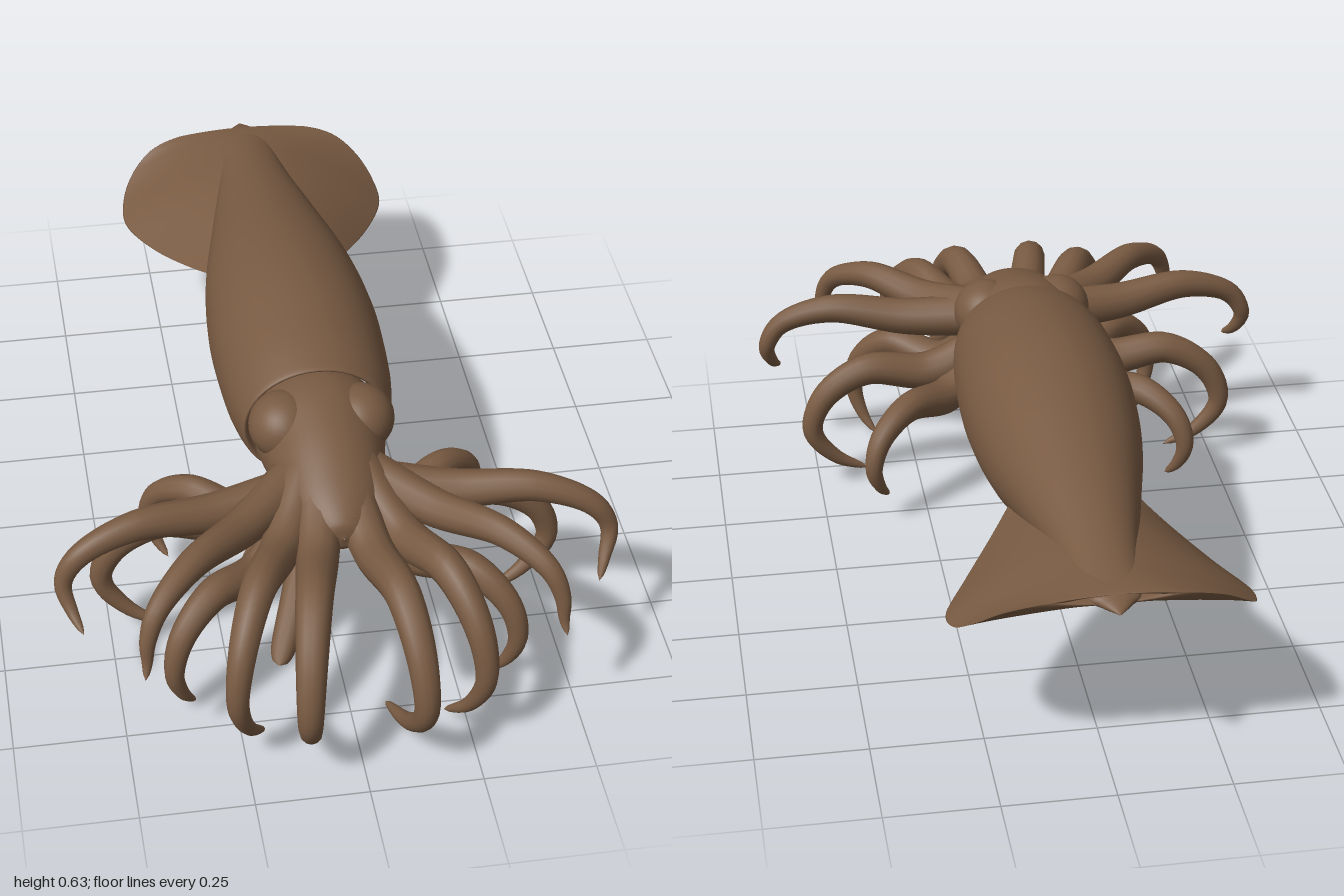
import * as THREE from 'three';

const skin = new THREE.MeshStandardMaterial({ color: 0x785a42 });
skin.name = 'brownSkin';

function part(name, geometry) {
  const mesh = new THREE.Mesh(geometry, skin);
  mesh.name = name;
  return mesh;
}

// Smooth skin over cross-sections [z, centreY, halfWidth, halfHeight, edgeDroop], listed front to back.
function loft(sections, { steps = 64, sides = 48, sharpness = 1 } = {}) {
  const spline = (pick) => new THREE.CatmullRomCurve3(sections.map(pick), false, 'catmullrom', 0.5);
  const line = spline(([z, y, , , droop = 0]) => new THREE.Vector3(z, y, droop));
  const size = spline(([, , w, h]) => new THREE.Vector3(w, h, 0));
  const position = [], index = [];
  for (let i = 0; i <= steps; i++) {
    const { x: z, y: cy, z: droop } = line.getPoint(i / steps);
    const { x: w, y: h } = size.getPoint(i / steps);
    for (let j = 0; j < sides; j++) {
      const a = (j / sides) * Math.PI * 2, c = Math.cos(a), s = Math.sin(a);
      const lift = Math.sign(s) * Math.abs(s) ** sharpness;
      position.push(w * c, cy + h * lift - droop * Math.abs(c) ** 1.6, z);
      if (i < steps) {
        const k = (j + 1) % sides, p = i * sides + j, q = i * sides + k;
        index.push(p, p + sides, q, p + sides, q + sides, q);
      }
    }
  }
  const g = new THREE.BufferGeometry();
  g.setAttribute('position', new THREE.Float32BufferAttribute(position, 3));
  g.setIndex(index);
  g.computeVertexNormals();
  return g;
}

// Tapered tube with a rounded tip.
function taper(points, r0, r1, steps = 44) {
  const curve = new THREE.CatmullRomCurve3(points);
  const sides = 12;
  const g = new THREE.TubeGeometry(curve, steps, 1, sides);
  const pos = g.attributes.position, v = new THREE.Vector3();
  for (let i = 0; i <= steps; i++) {
    const t = i / steps, centre = curve.getPointAt(t);
    const r = THREE.MathUtils.lerp(r0, r1, t ** 1.25) * Math.sqrt(Math.max(0, 1 - t ** 16));
    for (let j = 0; j <= sides; j++) {
      const n = i * (sides + 1) + j;
      v.fromBufferAttribute(pos, n).sub(centre).multiplyScalar(r).add(centre);
      pos.setXYZ(n, v.x, v.y, v.z);
    }
  }
  return g;
}

// Arm path: runs from the root at peak height towards its outermost point, then drops and curls to the tip.
function armPath(root, outX, outZ, peak, tip) {
  const drop = peak - tip.y;
  const outward = (f, y) => new THREE.Vector3(
    THREE.MathUtils.lerp(root.x, outX, f), y, THREE.MathUtils.lerp(root.z, outZ, f));
  const knee = outward(1, peak - drop * 0.55);
  const curl = knee.clone().lerp(tip, 0.4).setY(peak - drop * 0.83);
  return [root, outward(0.35, peak - 0.015), outward(0.7, peak), outward(0.93, peak - drop * 0.23), knee, curl, tip];
}

// Left-side arms: root, outermost x and z, peak height, tip.
const ARMS = {
  innerFrontArm: [0.025, 0.47, 0.48, 0.125, 0.967, 0.4, 0.08, 0.01, 0.74],
  outerFrontArm: [0.06, 0.46, 0.46, 0.27, 0.895, 0.402, 0.2, 0.025, 0.8],
  raisedSideArm: [0.08, 0.44, 0.45, 0.45, 0.81, 0.437, 0.46, 0.24, 0.835],
  longSideArm: [0.08, 0.42, 0.465, 0.61, 0.58, 0.425, 0.575, 0.225, 0.655],
  lowerSideArm: [0.06, 0.37, 0.42, 0.515, 0.405, 0.318, 0.38, 0.03, 0.43],
  rearArm: [0.07, 0.35, 0.44, 0.385, 0.19, 0.28, 0.345, 0.06, 0.235],
  underArm: [0.06, 0.37, 0.46, 0.385, 0.7, 0.28, 0.335, 0, 0.66],
};

export function createModel() {
  const model = new THREE.Group();
  model.name = 'squid';
  const vec = (x, y, z) => new THREE.Vector3(x, y, z);

  // Mantle with a turned-in collar at the front
  model.add(part('mantle', loft([
    [0.22, 0.44, 0.14, 0.13], [0.265, 0.44, 0.162, 0.144], [0.24, 0.44, 0.176, 0.157], [0.13, 0.44, 0.193, 0.178],
    [-0.08, 0.438, 0.2, 0.192], [-0.3, 0.436, 0.18, 0.168], [-0.52, 0.44, 0.135, 0.117],
    [-0.75, 0.446, 0.085, 0.06], [-0.92, 0.452, 0.06, 0.023], [-0.96, 0.452, 0.035, 0.015], [-1, 0.45, 0.001, 0.001],
  ], { steps: 72 })));

  // Pair of drooping tail fins with rounded lobes notched at the tail
  model.add(part('tailFins', loft([
    [-0.38, 0.42, 0.12, 0.01, 0.02], [-0.5, 0.422, 0.195, 0.035, 0.062], [-0.63, 0.43, 0.272, 0.045, 0.097],
    [-0.75, 0.438, 0.328, 0.043, 0.107], [-0.84, 0.445, 0.324, 0.035, 0.092], [-0.9, 0.45, 0.29, 0.028, 0.055],
    [-0.935, 0.456, 0.235, 0.018, 0.02], [-0.95, 0.458, 0.16, 0.012, 0], [-0.946, 0.458, 0.1, 0.008, 0],
    [-0.925, 0.455, 0.05, 0.004, 0],
  ], { sharpness: 2 })));

  // Head narrowing into the arm crown
  model.add(part('head', loft([
    [0.64, 0.41, 0.001, 0.001], [0.625, 0.41, 0.05, 0.04], [0.55, 0.418, 0.1, 0.082],
    [0.42, 0.437, 0.128, 0.12], [0.28, 0.447, 0.148, 0.138], [0.15, 0.44, 0.1, 0.1],
  ])));

  // Siphon under the head
  const siphonPath = [vec(0, 0.36, 0.22), vec(0, 0.335, 0.32), vec(0, 0.325, 0.42)];
  model.add(part('siphon', taper(siphonPath, 0.075, 0.04, 20)));

  for (const [side, prefix] of [[1, 'left '], [-1, 'right ']]) {
    // Eyes bulging gently out of the head
    const eye = part(prefix + 'eye', new THREE.SphereGeometry(0.08, 28, 20));
    eye.position.set(side * 0.087, 0.497, 0.33);
    eye.scale.set(0.97, 0.94, 1.03);
    model.add(eye);

    // Long curling arms
    for (const [name, [rx, ry, rz, outX, outZ, peak, tx, ty, tz]] of Object.entries(ARMS)) {
      const path = armPath(vec(side * rx, ry, rz), side * outX, outZ, peak, vec(side * tx, ty, tz));
      model.add(part(prefix + name, taper(path, 0.053, 0.012)));
    }

    // Short feelers beneath the crown
    const feeler = [vec(side * 0.05, 0.38, 0.52), vec(side * 0.11, 0.29, 0.67), vec(side * 0.165, 0.19, 0.78)];
    model.add(part(prefix + 'feeler', taper(feeler, 0.038, 0.028)));
    const club = [vec(side * 0.07, 0.37, 0.44), vec(side * 0.14, 0.31, 0.48), vec(side * 0.2, 0.245, 0.52)];
    model.add(part(prefix + 'club', taper(club, 0.03, 0.024)));
  }
  return model;
}
